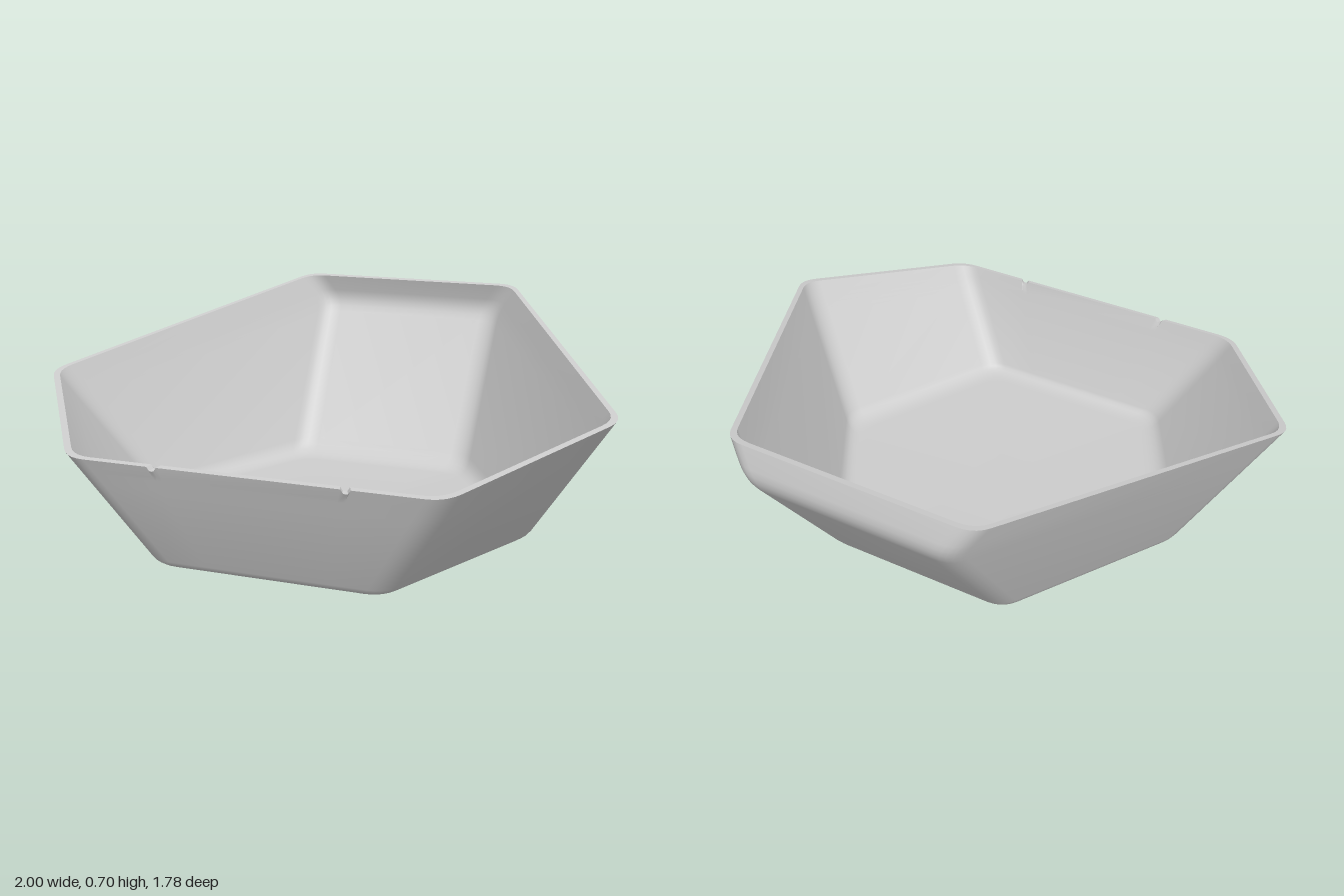
import * as THREE from 'three';
import { toCreasedNormals } from 'three/addons/utils/BufferGeometryUtils.js';

const V = (x, y, z) => new THREE.Vector3(x, y, z);
const lerp = (a, b, t) => a.clone().lerp(b, t);
const bezier = (a, b, c, t) => lerp(lerp(a, b, t), lerp(b, c, t), t);
const rimHeight = (z) => 0.4 + (0.89 - z) * 0.174;

const WALL = 0.977; // inner shell scale
const CENTRE_Z = 0.1;
const CUT = 0.06; // corner rounding
const ARC = 5;

// Left-hand corners of the hexagon: base, bend below the rim, rim
const rim = (x, z) => V(x, rimHeight(z), z);
const halfCorners = [
  { base: V(0.375, 0, 0.745), rim: rim(0.605, 0.89) },
  { base: V(0.71, 0, 0.11), rim: rim(1.015, 0.29) },
  { base: V(0.345, 0, -0.485), bend: V(0.37, 0.595, -0.9), rim: rim(0.44, -0.86) },
];
for (const c of halfCorners) c.bend ??= lerp(c.base, c.rim, 0.85);

const flip = (p) => V(-p.x, p.y, p.z);
const corners = [
  ...halfCorners,
  ...halfCorners.slice().reverse().map((c) => ({ base: flip(c.base), bend: flip(c.bend), rim: flip(c.rim) })),
];

// Inner shell: the same corners drawn in, with a raised floor
function inset(p, isRim, lift) {
  const q = V(p.x * WALL, p.y + lift, CENTRE_Z + (p.z - CENTRE_Z) * WALL);
  if (isRim) q.y = rimHeight(q.z);
  return q;
}
const innerCorners = corners.map((c) => ({
  base: inset(c.base, false, 0.02),
  bend: inset(c.bend, false, 0),
  rim: inset(c.rim, true, 0),
}));

// Points up one corner: floor fillet, wall, soft bend, rim
function cornerProfile({ base, bend, rim }) {
  const floor = lerp(base, V(0, base.y, CENTRE_Z), 0.1);
  const points = [];
  for (let i = 0; i <= 5; i++) points.push(bezier(floor, base, lerp(base, bend, 0.1), i / 5));
  for (let i = 0; i <= 4; i++) points.push(bezier(lerp(base, bend, 0.92), bend, lerp(bend, rim, 0.4), i / 4));
  points.push(rim);
  return points;
}

// Hexagon ring with rounded corners; the front edge carries two small notches
function ring(points, notched) {
  const out = [];
  points.forEach((p, i) => {
    const prev = points[(i + 5) % 6];
    const next = points[(i + 1) % 6];
    const a = lerp(p, prev, CUT / p.distanceTo(prev));
    const b = lerp(p, next, CUT / p.distanceTo(next));
    for (let k = 0; k <= ARC; k++) out.push(bezier(a, p, b, k / ARC));
  });
  const start = out[out.length - 1];
  const end = out[0];
  for (const x of [-0.31, 0.31]) {
    for (let k = -2; k <= 2; k++) {
      const q = lerp(start, end, 0.5 + (x + k * 0.008) / 1.09);
      if (notched) q.y -= 0.014 * Math.sqrt(1 - (k * k) / 4);
      out.push(q);
    }
  }
  return out;
}

function shellRings(set) {
  const profiles = set.map(cornerProfile);
  const last = profiles[0].length - 1;
  return profiles[0].map((_, level) => ring(profiles.map((p) => p[level]), level === last));
}

function bowlGeometry() {
  // Up the outside, over the rim and down the inside
  const rings = [...shellRings(corners), ...shellRings(innerCorners).reverse()];
  const n = rings[0].length;
  const positions = [];
  const tri = (...pts) => pts.forEach((p) => positions.push(p.x, p.y, p.z));
  const under = V(0, 0, CENTRE_Z);
  const floor = V(0, 0.02, CENTRE_Z);
  for (let j = 0; j < n; j++) {
    const k = (j + 1) % n;
    for (let i = 0; i < rings.length - 1; i++) {
      const a = rings[i], b = rings[i + 1];
      tri(a[j], a[k], b[k]);
      tri(a[j], b[k], b[j]);
    }
    const top = rings[rings.length - 1];
    tri(under, rings[0][k], rings[0][j]);
    tri(floor, top[j], top[k]);
  }
  const geometry = new THREE.BufferGeometry();
  geometry.setAttribute('position', new THREE.Float32BufferAttribute(positions, 3));
  return toCreasedNormals(geometry, 0.6);
}

export function createModel() {
  const group = new THREE.Group();
  group.name = 'hexagonalBowl';
  const bowl = new THREE.Mesh(bowlGeometry(), new THREE.MeshStandardMaterial({ color: 0xcccccc }));
  bowl.name = 'bowl';
  group.add(bowl);
  return group;
}
